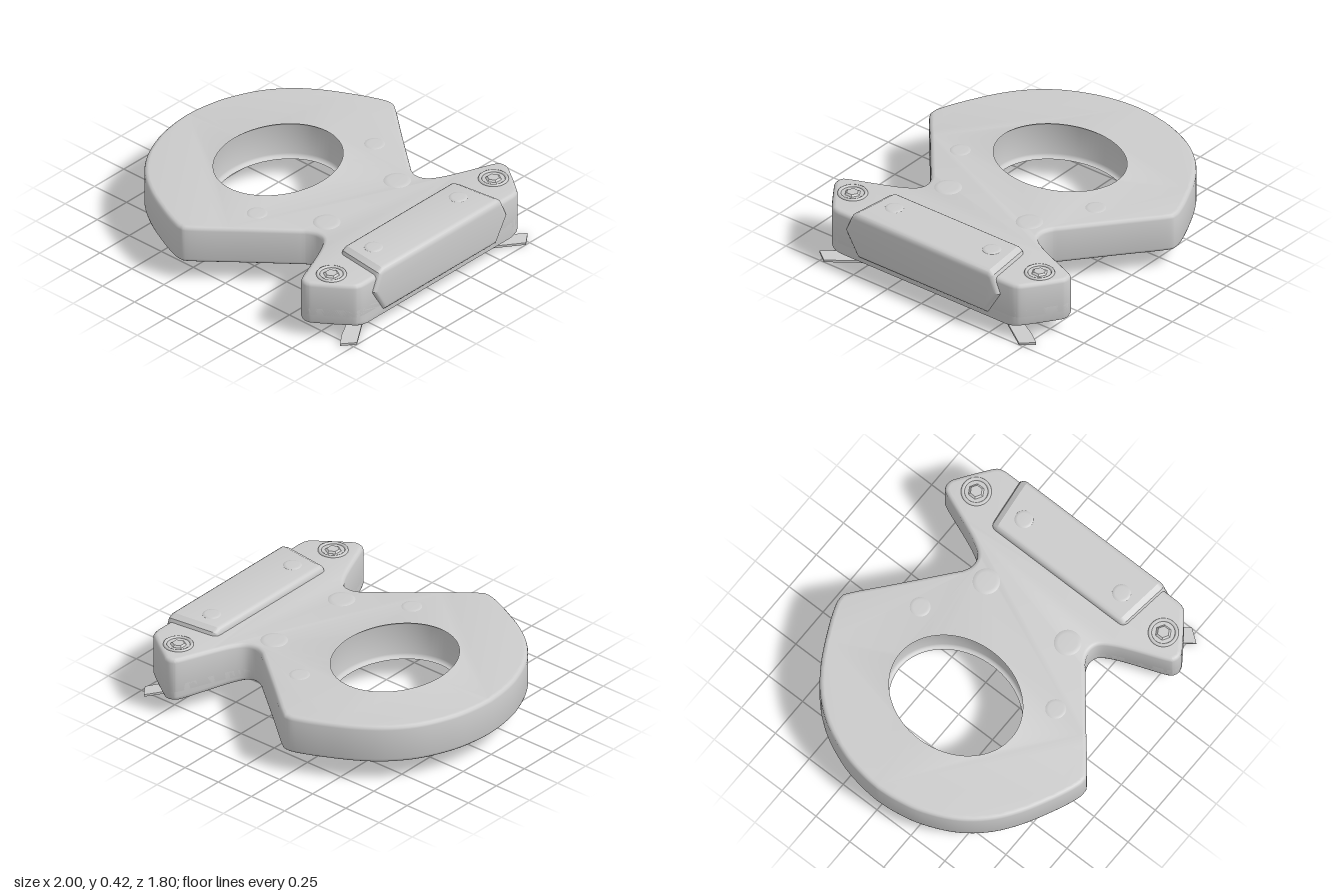
import * as THREE from 'three';
import { toCreasedNormals } from 'three/addons/utils/BufferGeometryUtils.js';

const grey = new THREE.MeshStandardMaterial({ color: 0xcccccc, side: THREE.DoubleSide });

function add(parent, name, geometry, x = 0, y = 0, z = 0) {
  const mesh = new THREE.Mesh(geometry, grey);
  mesh.name = name;
  mesh.position.set(x, y, z);
  parent.add(mesh);
  return mesh;
}

// Half of the plan outline as [x, z], from the round end to the mounting bar
const halfOutline = [
  [-1, 0], [-0.99, 0.12], [-0.955, 0.28], [-0.87, 0.47], [-0.75, 0.62], [-0.6, 0.735], [-0.42, 0.83],
  [-0.29, 0.885], [-0.22, 0.9], [-0.16, 0.875], [0.05, 0.7], [0.3, 0.495], [0.36, 0.447], [0.42, 0.427],
  [0.48, 0.445], [0.53, 0.515], [0.58, 0.625], [0.655, 0.81], [0.685, 0.848], [0.73, 0.853], [0.78, 0.825],
  [0.94, 0.71], [0.972, 0.67], [0.98, 0.63],
].map(([x, z]) => new THREE.Vector2(x, z));
const edge = new THREE.SplineCurve(halfOutline).getPoints(110);

// Flat plate with rounded rims and an oval opening
function plateGeometry() {
  const mirrored = edge.slice(1).reverse().map((p) => new THREE.Vector2(p.x, -p.y));
  const shape = new THREE.Shape([...mirrored, ...edge]);
  shape.holes.push(new THREE.Path().absellipse(-0.275, 0, 0.365, 0.437, 0, Math.PI * 2, true));
  const b = 0.025;
  const g = new THREE.ExtrudeGeometry(shape, {
    depth: 0.24 - 2 * b, bevelSize: b, bevelThickness: b, bevelOffset: -b, bevelSegments: 3, curveSegments: 40,
  });
  g.rotateX(-Math.PI / 2).translate(0, 0.13 + b, 0);
  return toCreasedNormals(g, 0.65);
}

// Thickened underside of the bar, lofted across the plan outline
function undersideGeometry() {
  const stations = edge.filter((p) => p.x >= 0.41);
  const positions = [], index = [], n = 8;
  for (const { x, y: w } of stations) {
    const bottom = 0.132 - 0.042 * THREE.MathUtils.smoothstep(x, 0.36, 0.76);
    const half = [[w, 0.2], [w, bottom + 0.025], [w - 0.008, bottom + 0.008], [w - 0.025, bottom]];
    const section = [...half.map(([z, y]) => [-z, y]), ...half.reverse()];
    for (const [z, y] of section) positions.push(x, y, z);
  }
  for (let i = 0; i < stations.length - 1; i++) {
    for (let j = 0; j < n - 1; j++) {
      const a = i * n + j, c = a + n;
      index.push(a, c, a + 1, c, c + 1, a + 1);
    }
  }
  const last = (stations.length - 1) * n;
  for (let j = 1; j < n - 1; j++) index.push(last, last + j + 1, last + j);
  const g = new THREE.BufferGeometry();
  g.setAttribute('position', new THREE.Float32BufferAttribute(positions, 3));
  g.setIndex(index);
  return toCreasedNormals(g, 0.65);
}

// Raised housing: six-sided end profile extruded through the bar, narrower inward
function housingGeometry() {
  const half = [[0.48, 0.118], [0.575, 0.275], [0.525, 0.39], [0.49, 0.41]];
  const points = [...half, ...half.map(([z, y]) => [-z, y]).reverse()];
  const shape = new THREE.Shape(points.map(([z, y]) => new THREE.Vector2(z, y)));
  const b = 0.035;
  const g = new THREE.ExtrudeGeometry(shape, {
    depth: 0.345 - 2 * b, bevelSize: b, bevelThickness: b, bevelOffset: -b, bevelSegments: 4,
  });
  g.rotateY(Math.PI / 2).translate(0.655 + b, 0, 0);
  const p = g.attributes.position;
  for (let i = 0; i < p.count; i++) p.setZ(i, p.getZ(i) * (0.92 + 0.08 * (p.getX(i) - 0.655) / 0.345));
  return toCreasedNormals(g, 0.5);
}

// Shallow round boss
function boss(parent, name, r, h, x, y, z) {
  const profile = [[r, -0.004], [r * 0.88, h * 0.6], [r * 0.65, h], [0, h]];
  add(parent, name, new THREE.LatheGeometry(profile.map(([a, c]) => new THREE.Vector2(a, c)), 28), x, y, z);
}

// Screw with a rim and a faceted head
function makeScrew(side) {
  const g = new THREE.Group();
  g.name = 'screw';
  const rim = add(g, 'screwRim', new THREE.TorusGeometry(0.078, 0.011, 8, 32));
  rim.rotation.x = Math.PI / 2;
  add(g, 'screwHead', toCreasedNormals(new THREE.CylinderGeometry(0.036, 0.056, 0.016, 6), 0.3), 0, 0.003, 0);
  g.position.set(0.773, 0.369, side * 0.69);
  return g;
}

// Clip: flared stem bending into a thin slanted blade
function makeClip(side) {
  const g = new THREE.Group();
  g.name = 'clip';
  const profile = [[0.026, 0.008], [0.027, 0.04], [0.035, 0.06], [0.055, 0.08], [0.085, 0.105]];
  const stem = new THREE.LatheGeometry(profile.map(([r, y]) => new THREE.Vector2(r, y)), 20);
  const p = stem.attributes.position;
  for (let i = 0; i < p.count; i++) p.setZ(i, p.getZ(i) - side * (p.getY(i) - 0.01) * 0.6);
  stem.computeVertexNormals();
  add(g, 'clipStem', stem, 0.77, 0, side * 0.47);

  const corners = [[0.735, 0.455], [0.805, 0.43], [1.0, 0.72], [0.94, 0.8], [0.885, 0.725]];
  const shape = new THREE.Shape(corners.map(([x, z]) => new THREE.Vector2(x, -side * z)));
  const blade = new THREE.ExtrudeGeometry(shape, { depth: 0.014, bevelEnabled: false });
  blade.rotateX(-Math.PI / 2);
  const q = blade.attributes.position;
  for (let i = 0; i < q.count; i++) q.setY(i, q.getY(i) + 0.05 * (1 - q.getX(i)));
  blade.computeVertexNormals();
  add(g, 'clipBlade', blade);
  return g;
}

export function createModel() {
  const model = new THREE.Group();
  model.name = 'bracket';
  add(model, 'ringPlate', plateGeometry());
  add(model, 'barUnderside', undersideGeometry());
  add(model, 'barHousing', housingGeometry());
  for (const side of [-1, 1]) {
    boss(model, 'outerBoss', 0.065, 0.004, 0.02, 0.37, side * 0.5);
    boss(model, 'neckBoss', 0.085, 0.006, 0.38, 0.37, side * 0.3);
    boss(model, 'housingBoss', 0.058, 0.006, 0.8, 0.41, side * 0.36);
    model.add(makeScrew(side), makeClip(side));
  }
  return model;
}
